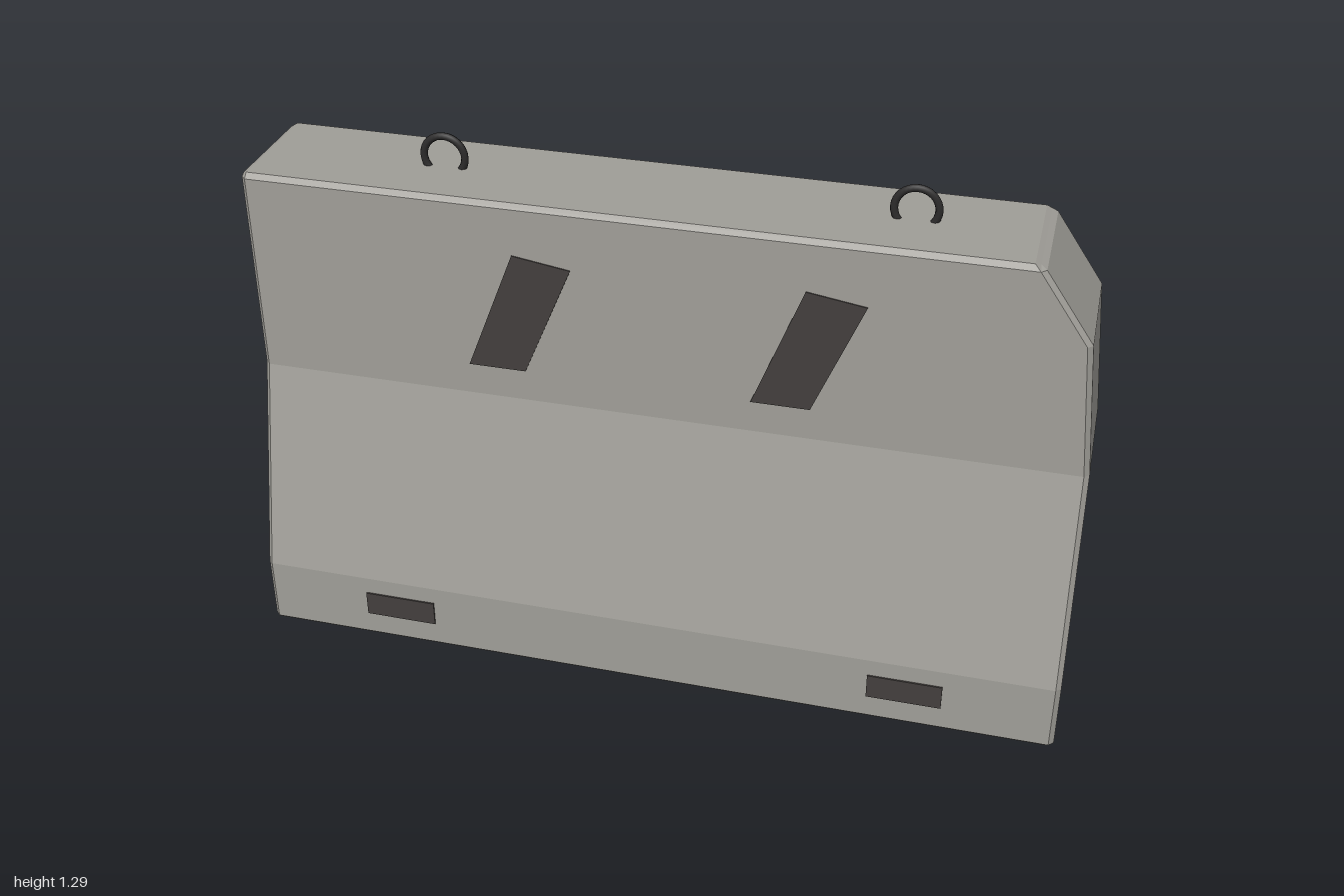
import * as THREE from 'three';

const BEVEL = 0.012, TOP = 1.21;
// y, half depth, x of the right end
const LEVELS = [
  [0, 0.269, 0.985], [BEVEL, 0.281, 0.996], [0.18, 0.281, 0.996], [0.7, 0.156, 0.992],
  [1.03, 0.156, 0.962], [TOP - BEVEL, 0.156, 0.846], [TOP, 0.144, 0.832],
];

// Closed cross-section: up the front, down the back
function ring(xAt, inset) {
  const row = side => LEVELS.map(([y, half, end]) => [
    xAt(end),
    inset ? Math.min(Math.max(y, 0.006), TOP - 0.006) : y,
    side * (half - inset),
  ]);
  return [...row(1), ...row(-1).reverse()];
}

function bodyGeometry() {
  const rings = [
    ring(() => -1, BEVEL),
    ring(() => -1 + BEVEL, 0),
    ring(end => end - BEVEL, 0),
    ring(end => end, BEVEL),
  ];
  const pos = [];
  const quad = (a, b, c, d) => pos.push(...a, ...b, ...c, ...a, ...c, ...d);
  const n = rings[0].length;
  // walls and end bevels
  for (let r = 0; r < 3; r++) {
    for (let i = 0; i < n; i++) {
      const j = (i + 1) % n;
      quad(rings[r][i], rings[r + 1][i], rings[r + 1][j], rings[r][j]);
    }
  }
  // end faces
  const [L, R] = [rings[0], rings[3]];
  for (let i = 0; i < n / 2 - 1; i++) {
    quad(R[i], R[n - 1 - i], R[n - 2 - i], R[i + 1]);
    quad(L[i], L[i + 1], L[n - 2 - i], L[n - 1 - i]);
  }
  const g = new THREE.BufferGeometry();
  g.setAttribute('position', new THREE.Float32BufferAttribute(pos, 3));
  g.computeVertexNormals();
  return g;
}

export function createModel() {
  const concrete = new THREE.MeshStandardMaterial({ name: 'concrete', color: 0xa09e98 });
  const darkPaint = new THREE.MeshStandardMaterial({ name: 'dark paint', color: 0x433f3d });
  const steel = new THREE.MeshStandardMaterial({ name: 'dark steel', color: 0x2c2b2b });

  const model = new THREE.Group();
  model.name = 'roadBarrier';
  const add = (name, geometry, material, x = 0, y = 0, z = 0) => {
    const mesh = new THREE.Mesh(geometry, material);
    mesh.name = name;
    mesh.position.set(x, y, z);
    model.add(mesh);
    return mesh;
  };

  add('barrierBody', bodyGeometry(), concrete);

  // slanted stripes on both upper faces
  const outline = [[-0.123, 0.78], [0.016, 0.78], [0.134, 1.062], [-0.005, 1.083]];
  const stripeShape = new THREE.Shape(outline.map(p => new THREE.Vector2(...p)));
  const stripe = new THREE.ExtrudeGeometry(stripeShape, { depth: 0.004, bevelEnabled: false });
  for (const x of [-0.34, 0.34]) {
    add('frontStripe', stripe, darkPaint, x, 0, 0.155);
    add('backStripe', stripe, darkPaint, x, 0, -0.159);
  }

  // plates near the foot
  const plate = new THREE.BoxGeometry(0.18, 0.064, 0.008);
  for (const x of [-0.644, 0.634]) {
    for (const side of [1, -1]) {
      add(side > 0 ? 'frontFootPlate' : 'backFootPlate', plate, darkPaint, x, 0.104, side * 0.281);
    }
  }

  // lifting loops sunk into the top
  const loop = new THREE.TorusGeometry(0.05, 0.009, 8, 24, Math.PI * 1.5);
  loop.rotateZ(-Math.PI / 4);
  for (const x of [-0.553, 0.546]) add('liftingLoop', loop, steel, x, 1.236, 0);

  return model;
}
